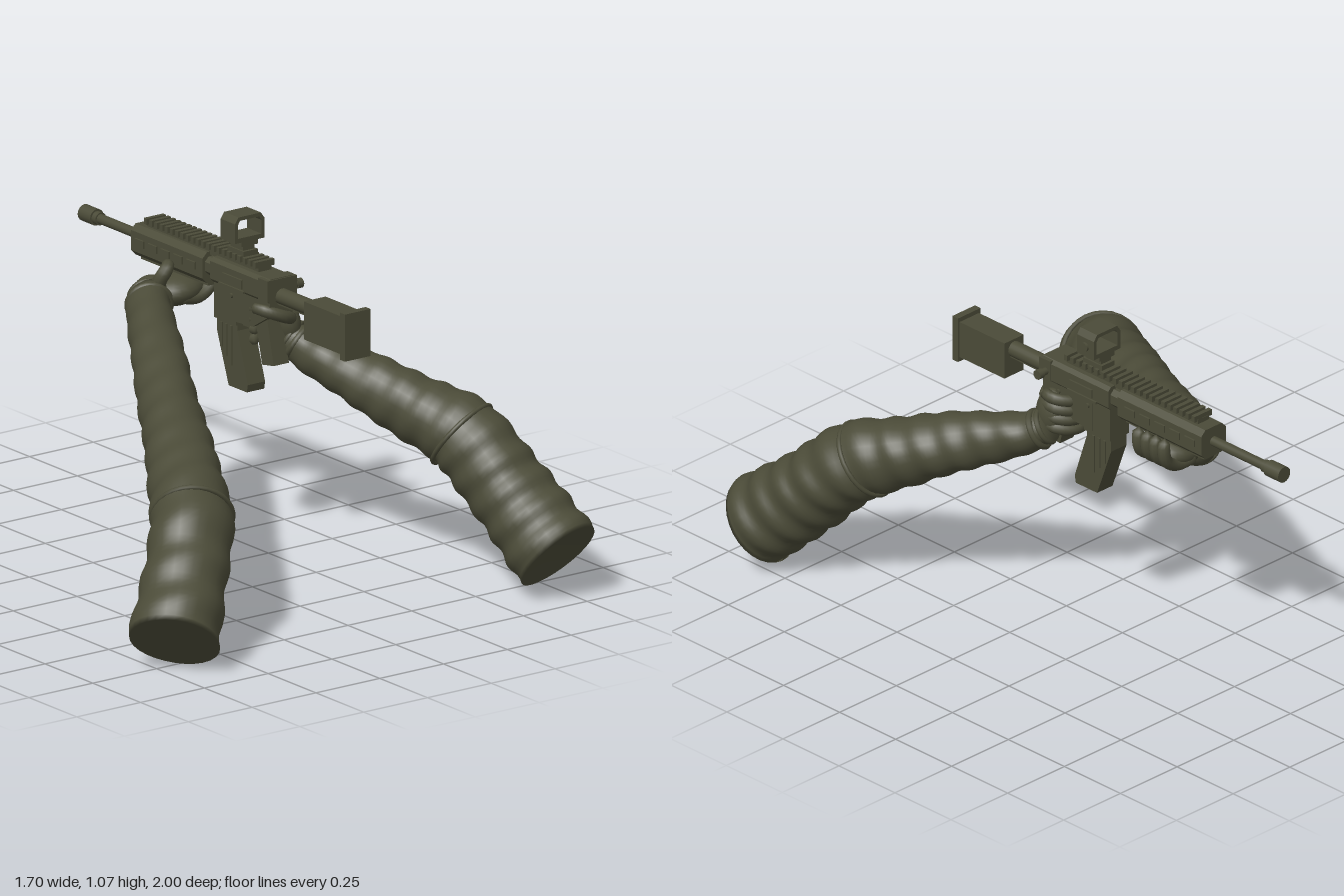
import * as THREE from 'three';
import { mergeVertices } from 'three/addons/utils/BufferGeometryUtils.js';

const olive = new THREE.MeshStandardMaterial({ color: 0x4b4b38 });
olive.name = 'olive drab';
const V = (p) => new THREE.Vector3(p[0], p[1], p[2]);

function add(parent, name, geo, x = 0, y = 0, z = 0) {
  const m = new THREE.Mesh(geo, olive);
  m.name = name;
  m.position.set(x, y, z);
  parent.add(m);
  return m;
}

// Box from its y and z limits, centred on x
function box(parent, name, w, y0, y1, z0, z1, x = 0) {
  return add(parent, name, new THREE.BoxGeometry(w, y1 - y0, Math.abs(z1 - z0)), x, (y0 + y1) / 2, (z0 + z1) / 2);
}

// Cylinder lying along z
function rod(parent, name, r, y, z0, z1, sides = 20, x = 0) {
  const g = new THREE.CylinderGeometry(r, r, Math.abs(z1 - z0), sides).rotateX(Math.PI / 2);
  return add(parent, name, g, x, y, (z0 + z1) / 2);
}

// Profile of [z, y] points extruded across x
function sidePlate(parent, name, pts, w) {
  const s = new THREE.Shape(pts.map(([z, y]) => new THREE.Vector2(-z, y)));
  const g = new THREE.ExtrudeGeometry(s, { depth: w, bevelEnabled: false });
  g.translate(0, 0, -w / 2).rotateY(Math.PI / 2);
  return add(parent, name, g);
}

// Profile of [x, y] points extruded along z, with cut corners
function chamfered(parent, name, w, y0, y1, z0, z1, c) {
  const h = w / 2;
  const s = new THREE.Shape([[-h + c, y0], [h - c, y0], [h, y0 + c], [h, y1 - c], [h - c, y1], [-h + c, y1], [-h, y1 - c], [-h, y0 + c]]
    .map((p) => new THREE.Vector2(...p)));
  const g = new THREE.ExtrudeGeometry(s, { depth: z0 - z1, bevelEnabled: false });
  return add(parent, name, g, 0, 0, z1);
}

// Tube through points with a radius for each; folds ripple it, the last ring is pulled by dish
function sweep(parent, name, pts, radii, { n = 24, sides = 12, dish = 0, folds = () => 0 } = {}) {
  const curve = new THREE.CatmullRomCurve3(pts.map(V));
  let g = new THREE.TubeGeometry(curve, n, 1, sides);
  const pos = g.attributes.position, v = new THREE.Vector3();
  for (let i = 0; i <= n; i++) {
    const u = i / n, f = curve.getUtoTmapping(u) * (radii.length - 1);
    const k = Math.min(Math.floor(f), radii.length - 2);
    let r = THREE.MathUtils.lerp(radii[k], radii[k + 1], f - k);
    if (i === 0 || i === n) r = 0;
    const c = curve.getPointAt(u), t = curve.getTangentAt(u);
    for (let j = 0; j <= sides; j++) {
      const id = i * (sides + 1) + j;
      v.fromBufferAttribute(pos, id).sub(c);
      v.multiplyScalar(r + (r ? folds(u, (j / sides) * Math.PI * 2) : 0)).add(c);
      if (i === n) v.addScaledVector(t, -dish);
      pos.setXYZ(id, v.x, v.y, v.z);
    }
  }
  g.deleteAttribute('normal');
  g.deleteAttribute('uv');
  g = mergeVertices(g, 1e-5);
  g.computeVertexNormals();
  return add(parent, name, g);
}

function band(parent, name, at, dir, r, t) {
  const m = add(parent, name, new THREE.TorusGeometry(r, t, 8, 28), ...at);
  m.quaternion.setFromUnitVectors(new THREE.Vector3(0, 0, 1), V(dir).normalize());
}

function blob(parent, name, at, size, rot = [0, 0, 0]) {
  const m = add(parent, name, new THREE.SphereGeometry(1, 20, 14), ...at);
  m.scale.set(...size);
  m.rotation.set(...rot);
}

const finger = (p, name, pts, r) => sweep(p, name, pts, pts.map((_, i) => (i === pts.length - 1 ? r * 0.8 : r)), { n: 14, sides: 10 });

function buildRifle() {
  const g = new THREE.Group();
  g.name = 'rifle';
  g.position.x = 0.278;

  // Stock
  box(g, 'stock', 0.085, 0.785, 0.91, 0.405, 0.205);
  box(g, 'buttPlate', 0.1, 0.77, 0.925, 0.43, 0.405);
  rod(g, 'bufferTube', 0.026, 0.876, 0.21, 0.02);
  box(g, 'stockRib', 0.03, 0.85, 0.88, 0.21, 0.03);

  // Receiver
  chamfered(g, 'upperReceiver', 0.108, 0.855, 0.937, 0.03, -0.27, 0.012);
  box(g, 'rearCollar', 0.116, 0.865, 0.935, 0.035, -0.015);
  sidePlate(g, 'lowerReceiver', [[0.03, 0.86], [0.03, 0.815], [-0.06, 0.76], [-0.19, 0.75], [-0.19, 0.86]], 0.09);
  chamfered(g, 'receiverNeck', 0.09, 0.865, 0.925, -0.26, -0.32, 0.015);
  box(g, 'magazineWell', 0.085, 0.74, 0.87, -0.15, -0.265);
  for (const s of [-1, 1]) {
    box(g, 'ejectionPort', 0.008, 0.875, 0.905, -0.1, -0.2, s * 0.056);
    box(g, 'receiverRidge', 0.008, 0.862, 0.87, -0.09, -0.22, s * 0.056);
    for (const z of [-0.04, -0.17]) {
      add(g, 'pin', new THREE.CylinderGeometry(0.008, 0.008, 0.008, 12).rotateZ(Math.PI / 2), s * 0.048, 0.835, z);
    }
  }
  add(g, 'sideKnob', new THREE.CylinderGeometry(0.012, 0.012, 0.05, 12).rotateZ(Math.PI / 2), 0.07, 0.895, 0.005);
  add(g, 'knobCap', new THREE.CylinderGeometry(0.016, 0.016, 0.02, 12).rotateZ(Math.PI / 2), 0.087, 0.895, 0.005);

  // Grip, trigger and magazine
  sidePlate(g, 'pistolGrip', [[-0.01, 0.82], [0.03, 0.65], [-0.03, 0.64], [-0.075, 0.82]], 0.06);
  box(g, 'triggerGuard', 0.025, 0.735, 0.745, -0.07, -0.16);
  box(g, 'trigger', 0.012, 0.74, 0.79, -0.105, -0.115);
  sidePlate(g, 'magazine', [[-0.155, 0.77], [-0.155, 0.72], [-0.1, 0.555], [-0.105, 0.53], [-0.2, 0.53], [-0.262, 0.7], [-0.262, 0.77]], 0.068);
  for (const z of [-0.185, -0.21, -0.235]) box(g, 'magazineRib', 0.076, 0.6 - (z + 0.185), 0.73, z + 0.005, z - 0.005);

  // Handguard with vents and side rails
  chamfered(g, 'handguard', 0.108, 0.838, 0.94, -0.31, -0.685, 0.018);
  for (const s of [-1, 1]) {
    for (let i = 0; i < 5; i++) box(g, 'ventFrame', 0.008, 0.878, 0.902, -0.345 - i * 0.067, -0.39 - i * 0.067, s * 0.056);
  }
  box(g, 'lowerRail', 0.05, 0.825, 0.84, -0.32, -0.67);

  // Top rail
  box(g, 'railBase', 0.05, 0.93, 0.956, -0.055, -0.64);
  for (let i = 0; i < 22; i++) {
    const z = -0.055 - i * 0.0271;
    box(g, 'railTooth', 0.075, 0.95, 0.97, z, z - 0.015);
  }

  // Barrel and muzzle
  rod(g, 'barrel', 0.016, 0.889, -0.68, -0.94);
  rod(g, 'muzzleBrake', 0.027, 0.889, -0.935, -1.0, 16);
  rod(g, 'muzzleCollar', 0.021, 0.889, -0.915, -0.935, 16);

  // Reflex sight: open frame with a hood
  box(g, 'sightMount', 0.056, 0.955, 0.985, -0.13, -0.215);
  box(g, 'sightNeck', 0.045, 0.985, 1.005, -0.14, -0.205);
  box(g, 'sightBase', 0.066, 1.0, 1.022, -0.135, -0.21);
  const outer = new THREE.Shape([[-0.058, 1.015], [0.058, 1.015], [0.058, 1.08], [0.044, 1.1], [-0.044, 1.1], [-0.058, 1.08]].map((p) => new THREE.Vector2(...p)));
  outer.holes.push(new THREE.Path([[-0.046, 1.03], [-0.046, 1.075], [-0.038, 1.088], [0.038, 1.088], [0.046, 1.075], [0.046, 1.03]].map((p) => new THREE.Vector2(...p))));
  add(g, 'sightFrame', new THREE.ExtrudeGeometry(outer, { depth: 0.075, bevelEnabled: false }), 0, 0, -0.21);
  add(g, 'sightDial', new THREE.CylinderGeometry(0.015, 0.015, 0.012, 16).rotateZ(Math.PI / 2), 0.06, 1.05, -0.172);
  return g;
}

function buildArm(name, pts, radii) {
  const g = new THREE.Group();
  g.name = name;
  // Soft ripples grow towards the shoulder
  const folds = (u, a) => (0.002 + 0.004 * u) * Math.sin(u * 75 + Math.sin(a) * 1.5) + 0.002 * Math.sin(a * 3 + u * 20);
  sweep(g, 'sleeve', pts, radii, { n: 90, sides: 28, dish: 0.05, folds });
  return g;
}

export function createModel() {
  const model = new THREE.Group();
  model.name = 'armsWithRifle';
  model.add(buildRifle());

  // Arm reaching forward to the handguard
  const front = buildArm('supportArm',
    [[0.165, 0.765, -0.51], [0.1, 0.735, -0.42], [-0.14, 0.61, -0.01], [-0.37, 0.49, 0.39], [-0.49, 0.42, 0.585], [-0.6, 0.29, 0.7], [-0.74, 0.115, 0.825]],
    [0.066, 0.074, 0.094, 0.117, 0.132, 0.132, 0.146]);
  model.add(front);
  band(front, 'gloveCuff', [0.135, 0.75, -0.47], [0.5, 0.25, -0.83], 0.068, 0.011);
  band(front, 'gloveStrap', [0.155, 0.76, -0.5], [0.5, 0.25, -0.83], 0.06, 0.01);
  band(front, 'elbowSeam', [-0.475, 0.432, 0.57], [-0.5, -0.45, 0.7], 0.128, 0.008);
  blob(front, 'handBack', [0.175, 0.765, -0.515], [0.062, 0.06, 0.055]);
  blob(front, 'palm', [0.25, 0.775, -0.485], [0.095, 0.05, 0.08], [0, 0, 0.1]);
  for (let i = 0; i < 4; i++) {
    const z = -0.425 - i * 0.038;
    finger(front, 'finger', [[0.22, 0.765, z - 0.01], [0.29, 0.755, z], [0.342, 0.785, z], [0.353, 0.83, z], [0.345, 0.865, z + 0.005]], 0.021);
  }
  finger(front, 'thumb', [[0.17, 0.77, -0.48], [0.17, 0.825, -0.46], [0.185, 0.855, -0.45], [0.212, 0.875, -0.47]], 0.023);

  // Arm holding the grip
  const rear = buildArm('triggerArm',
    [[0.345, 0.725, -0.03], [0.375, 0.685, 0.03], [0.46, 0.615, 0.22], [0.55, 0.54, 0.4], [0.618, 0.475, 0.55], [0.665, 0.33, 0.71], [0.714, 0.152, 0.912]],
    [0.054, 0.064, 0.092, 0.11, 0.127, 0.133, 0.146]);
  model.add(rear);
  band(rear, 'gloveCuff', [0.365, 0.7, 0.005], [-0.4, 0.5, -0.75], 0.058, 0.011);
  band(rear, 'gloveStrap', [0.355, 0.715, -0.015], [-0.4, 0.5, -0.75], 0.054, 0.009);
  band(rear, 'elbowSeam', [0.61, 0.485, 0.53], [0.3, -0.6, 0.74], 0.125, 0.008);
  blob(rear, 'palm', [0.335, 0.765, -0.02], [0.042, 0.075, 0.055], [0, 0, 0.15]);
  for (let i = 0; i < 4; i++) {
    const y = 0.825 - i * 0.034;
    finger(rear, 'finger', [[0.345, y, 0.005], [0.355, y, -0.045], [0.32, y - 0.008, -0.085], [0.27, y - 0.01, -0.092], [0.235, y - 0.01, -0.055]], 0.019);
  }
  finger(rear, 'thumb', [[0.33, 0.79, 0.02], [0.28, 0.81, 0.04], [0.23, 0.83, 0.015], [0.21, 0.835, -0.035]], 0.02);
  return model;
}
